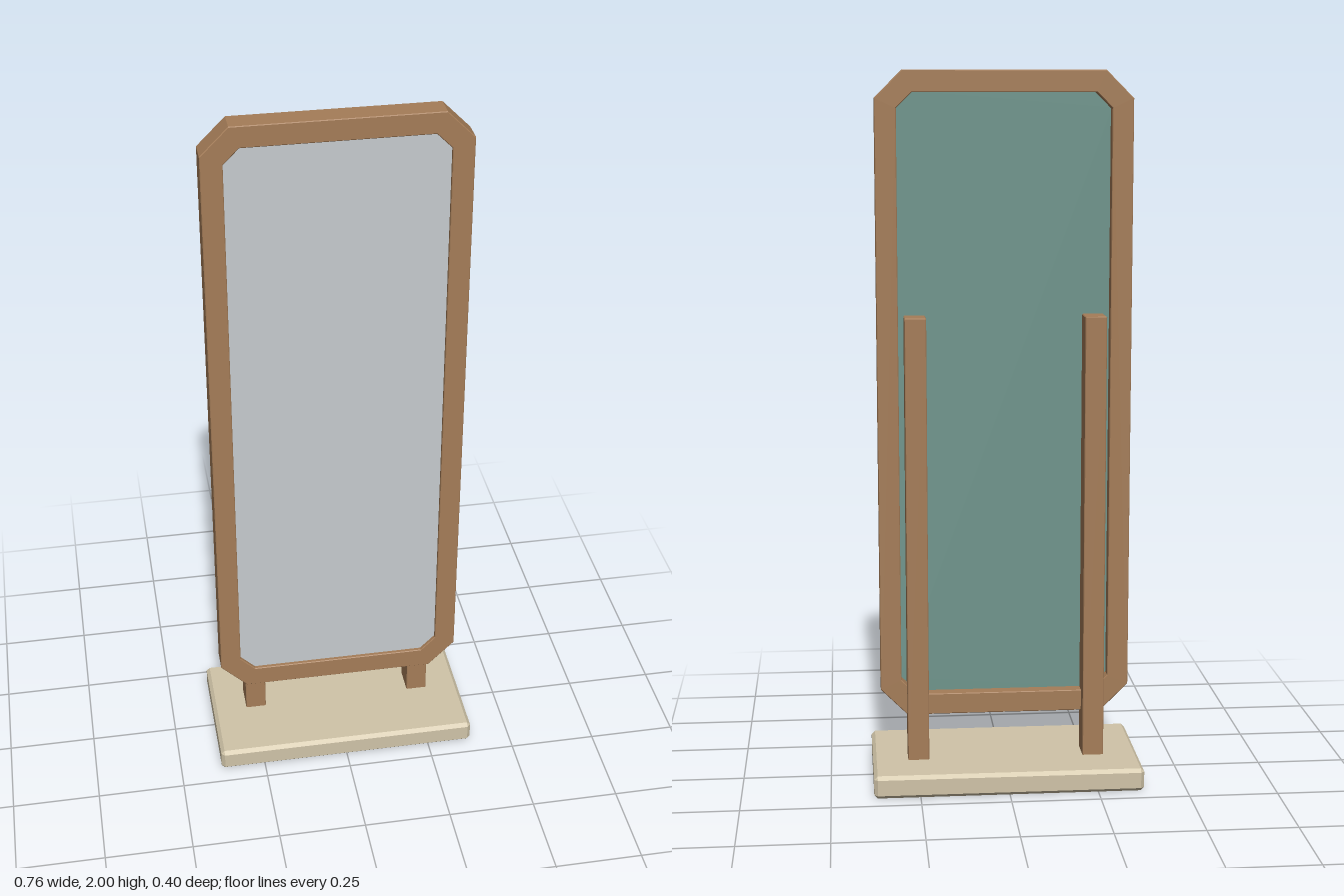
import * as THREE from 'three';
import { ConvexGeometry } from 'three/addons/geometries/ConvexGeometry.js';

const paint = (color) => new THREE.MeshStandardMaterial({ color, flatShading: true });
const wood = paint(0xa57d58);
const stone = paint(0xd0c4a8);
const glass = paint(0xc6cbce);
const backing = paint(0x6f958c);

// Rectangle with cut corners, spanning x = -w..w and y = y0..y1
function cutRect(w, y0, y1, c) {
  return [
    [-w + c, y0], [w - c, y0], [w, y0 + c], [w, y1 - c],
    [w - c, y1], [-w + c, y1], [-w, y1 - c], [-w, y0 + c],
  ].map(([x, y]) => new THREE.Vector2(x, y));
}

// Box with every edge chamfered by c
function chamferBox(w, h, d, c) {
  const points = [];
  for (const x of [-1, 1]) for (const y of [-1, 1]) for (const z of [-1, 1]) {
    for (const [a, b, e] of [[0, c, c], [c, 0, c], [c, c, 0]]) {
      points.push(new THREE.Vector3(x * (w / 2 - a), y * (h / 2 - b), z * (d / 2 - e)));
    }
  }
  return new ConvexGeometry(points);
}

export function createModel() {
  const group = new THREE.Group();
  const add = (name, geometry, material, x = 0, y = 0, z = 0) => {
    const mesh = new THREE.Mesh(geometry, material);
    mesh.name = name;
    mesh.position.set(x, y, z);
    group.add(mesh);
  };

  // Base slab
  add('base', chamferBox(0.76, 0.065, 0.404, 0.01), stone, 0, 0.0325, 0);

  // Two posts behind the mirror
  for (const [name, side] of [['leftPost', 1], ['rightPost', -1]]) {
    add(name, chamferBox(0.06, 1.27, 0.08, 0.002), wood, side * 0.25, 0.695, -0.029);
  }

  // Cut-corner frame with an opening
  const bevel = 0.002;
  const frame = new THREE.Shape(cutRect(0.355, 0.185, 2, 0.076));
  frame.holes.push(new THREE.Path(cutRect(0.296, 0.245, 1.94, 0.043).reverse()));
  add('frame', new THREE.ExtrudeGeometry(frame, {
    depth: 0.069 - 2 * bevel, bevelThickness: bevel, bevelSize: bevel,
    bevelOffset: -bevel, bevelSegments: 1,
  }), wood, 0, 0, -0.024 + bevel);

  // Mirror glass in front of its backing panel, set into the frame
  const panel = new THREE.Shape(cutRect(0.3, 0.241, 1.944, 0.045));
  const slab = (depth) => new THREE.ExtrudeGeometry(panel, { depth, bevelEnabled: false });
  add('mirrorBacking', slab(0.01), backing, 0, 0, 0.013);
  add('mirrorGlass', slab(0.011), glass, 0, 0, 0.023);

  return group;
}
